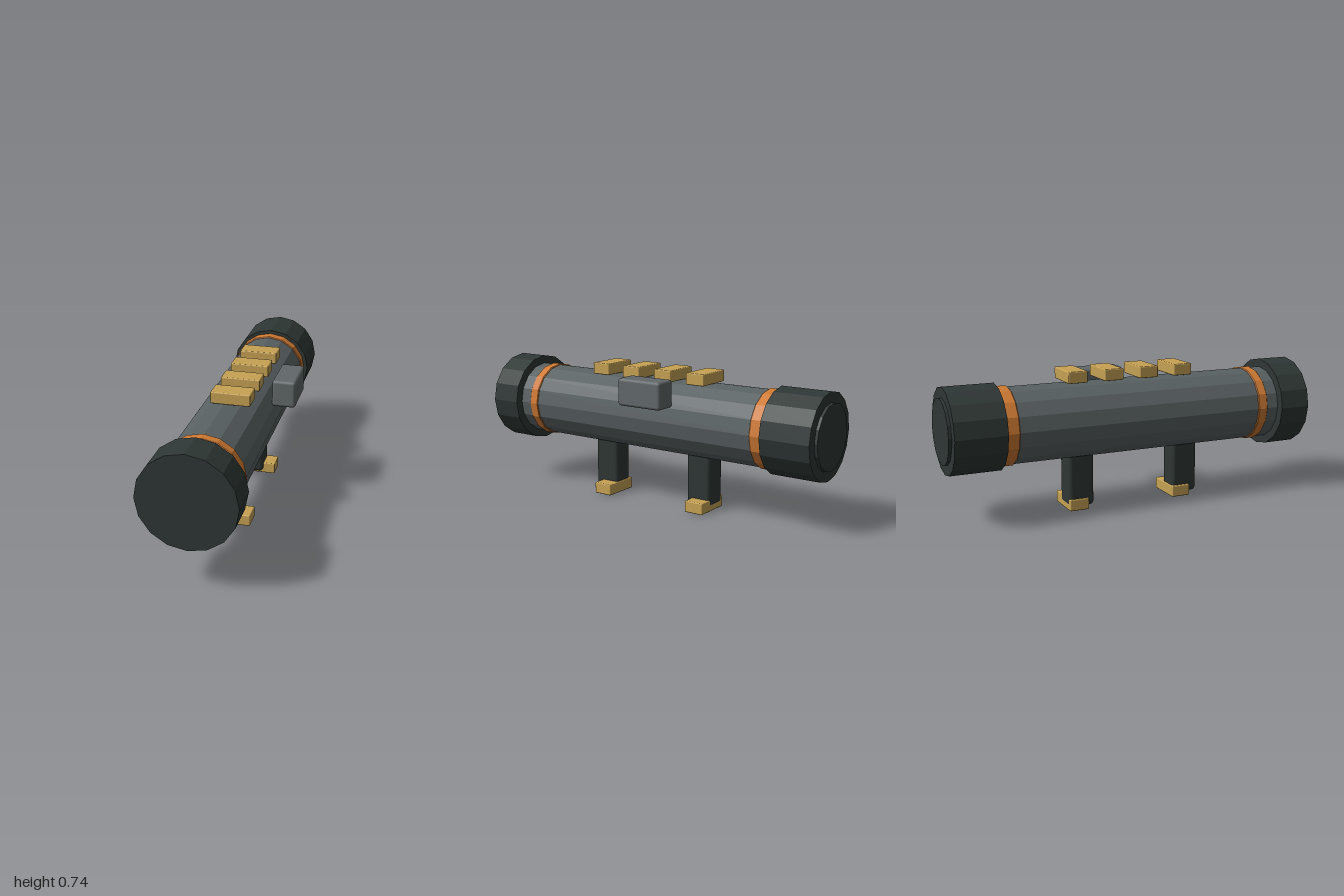
import * as THREE from 'three';
import { RoundedBoxGeometry } from 'three/addons/geometries/RoundedBoxGeometry.js';

const AXIS_X = -0.03, AXIS_Y = 0.477, SIDES = 16;

export function createModel() {
  const model = new THREE.Group();
  model.name = 'tubeDevice';

  const paint = (name, color, flatShading = false) =>
    Object.assign(new THREE.MeshStandardMaterial({ color, flatShading }), { name });
  const tubeGrey = paint('tube grey', 0x596163, true);
  const boxGrey = paint('box grey', 0x62686a);
  const capDark = paint('cap dark green', 0x2e3735, true);
  const legDark = paint('leg dark green', 0x2e3634);
  const brass = paint('brass', 0xc6a254);
  const orange = paint('band orange', 0xcf7a33, true);

  const add = (name, geometry, material, x, y, z) => {
    const mesh = new THREE.Mesh(geometry, material);
    mesh.name = name;
    mesh.position.set(x, y, z);
    model.add(mesh);
    return mesh;
  };

  // Sixteen-sided drum along z, with an optional chamfer on both rims
  const drum = (name, radius, z0, z1, material, chamfer = 0) => {
    const h = (z1 - z0) / 2;
    const profile = [[0, -h], [radius - chamfer, -h], [radius, -h + chamfer],
      [radius, h - chamfer], [radius - chamfer, h], [0, h]];
    const geometry = chamfer
      ? new THREE.LatheGeometry(profile.map(([r, y]) => new THREE.Vector2(r, y)), SIDES)
      : new THREE.CylinderGeometry(radius, radius, 2 * h, SIDES);
    geometry.rotateX(Math.PI / 2);
    add(name, geometry, material, AXIS_X, AXIS_Y, (z0 + z1) / 2);
  };

  // Rounded block given by its limits on each axis
  const block = (name, [x0, x1], [y0, y1], [z0, z1], radius, material) =>
    add(name, new RoundedBoxGeometry(x1 - x0, y1 - y0, z1 - z0, 3, radius), material,
      (x0 + x1) / 2, (y0 + y1) / 2, (z0 + z1) / 2);

  // Main tube, bands and end caps
  drum('mainTube', 0.198, -0.8, 0.9, tubeGrey);
  drum('frontBand', 0.204, 0.705, 0.76, orange, 0.004);
  drum('rearBand', 0.204, -0.72, -0.657, orange, 0.004);
  drum('frontCap', 0.242, 0.828, 1, capDark);
  drum('rearCap', 0.222, -0.985, -0.722, capDark);
  drum('rearPlate', 0.168, -1, -0.97, capDark);

  // Row of blocks along the top
  for (const z of [-0.3, -0.1, 0.1, 0.3]) {
    block('topBlock', [-0.101, 0.101], [0.674, 0.735], [z - 0.053, z + 0.053], 0.006, brass);
  }

  // Legs and their foot blocks
  block('frontLeg', [-0.088, 0.028], [0.02, 0.34], [0.253, 0.4], 0.02, legDark);
  block('rearLeg', [-0.094, 0.036], [0.02, 0.34], [-0.354, -0.214], 0.02, legDark);
  for (const z of [-0.3, 0.3]) {
    block('foot', [-0.101, 0.101], [0, 0.062], [z - 0.053, z + 0.053], 0.006, brass);
  }

  // Side housing
  block('sideBox', [0.145, 0.268], [0.558, 0.701], [-0.2, 0.06], 0.016, boxGrey);

  return model;
}
